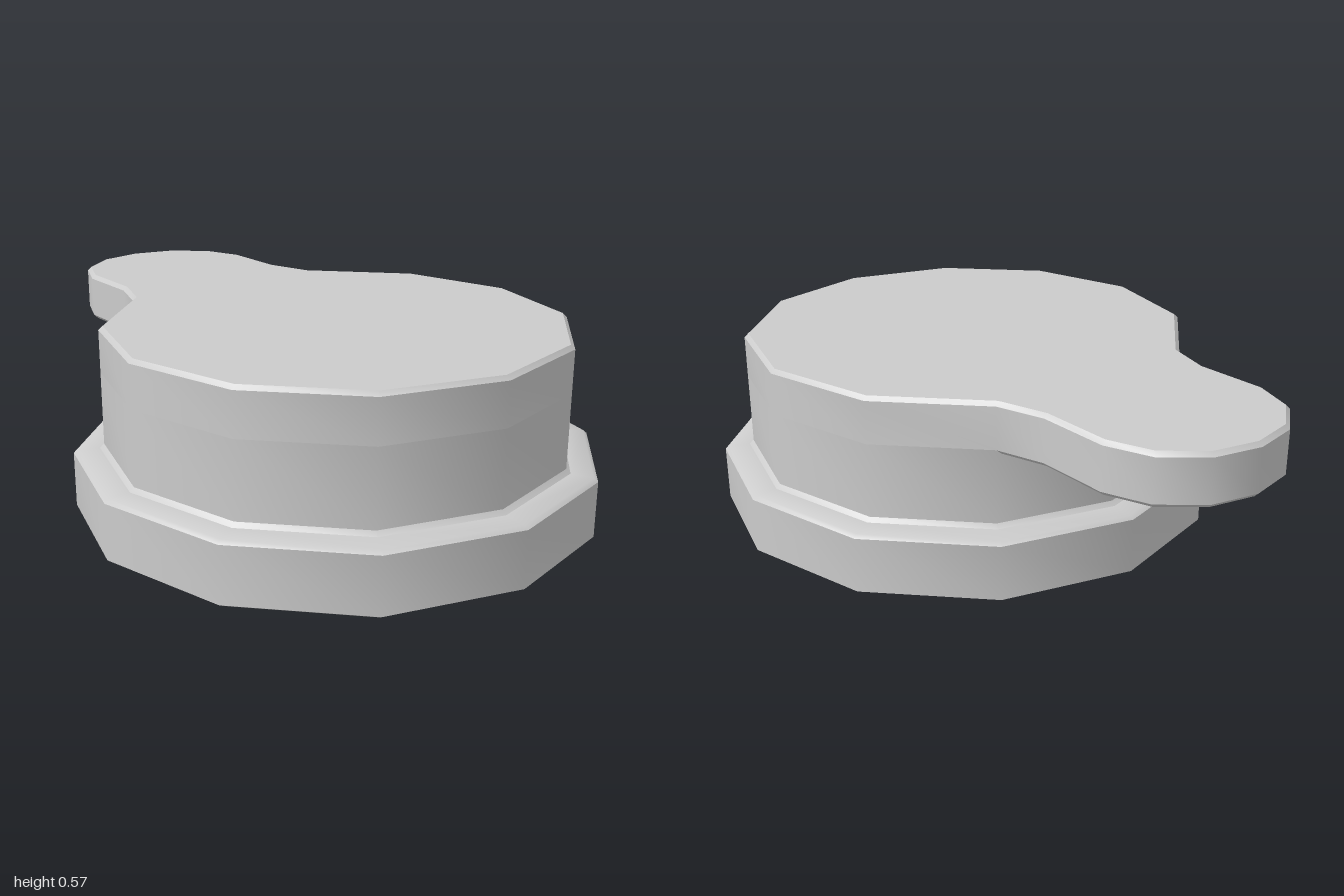
import * as THREE from 'three';
import { toCreasedNormals } from 'three/addons/utils/BufferGeometryUtils.js';

const SIDES = 12;
const CENTRE_Z = 0.21;
const BODY_R = 0.69;
const BEVEL = 0.012;
const TOP = 0.57;
const PLATE_BOTTOM = 0.42;
const CREASE = 0.7;

export function createModel() {
  const group = new THREE.Group();
  const material = new THREE.MeshStandardMaterial({ color: 0xcccccc });

  const add = (name, geometry) => {
    const mesh = new THREE.Mesh(toCreasedNormals(geometry, CREASE), material);
    mesh.name = name;
    group.add(mesh);
    return mesh;
  };
  const turned = (name, profile) => {
    const points = profile.map(([r, y]) => new THREE.Vector2(r, y));
    add(name, new THREE.LatheGeometry(points, SIDES)).position.z = CENTRE_Z;
  };

  // Wide base ring with a slightly bevelled rim
  turned('base', [
    [0, 0], [0.755, 0.008], [0.78, 0.022], [0.78, 0.187], [0.768, 0.197], [0.705, 0.2], [0, 0.2],
  ]);

  // Upright wall with a small fillet at the foot
  turned('body', [[0.705, 0.198], [BODY_R, 0.212], [BODY_R, PLATE_BOTTOM + BEVEL]]);

  // Top plate and rear thumb tab share one outline
  const outline = [];
  for (let i = -5; i <= 5; i++) {
    const a = (i / SIDES) * Math.PI * 2;
    outline.push(new THREE.Vector2(Math.sin(a) * BODY_R, -(CENTRE_Z + Math.cos(a) * BODY_R)));
  }
  const tab = [[0.3, 0.53], [0.3, 0.75], [0.25, 0.88], [0.14, 0.97]];
  tab.forEach(([x, y]) => outline.push(new THREE.Vector2(x, y)));
  outline.push(new THREE.Vector2(0, 1));
  tab.reverse().forEach(([x, y]) => outline.push(new THREE.Vector2(-x, y)));

  const plate = new THREE.ExtrudeGeometry(new THREE.Shape(outline), {
    depth: TOP - PLATE_BOTTOM - 2 * BEVEL,
    bevelEnabled: true,
    bevelThickness: BEVEL,
    bevelSize: BEVEL,
    bevelOffset: -BEVEL,
    bevelSegments: 1,
  });
  plate.rotateX(-Math.PI / 2);
  plate.translate(0, PLATE_BOTTOM + BEVEL, 0);
  add('topPlateWithTab', plate);

  return group;
}
